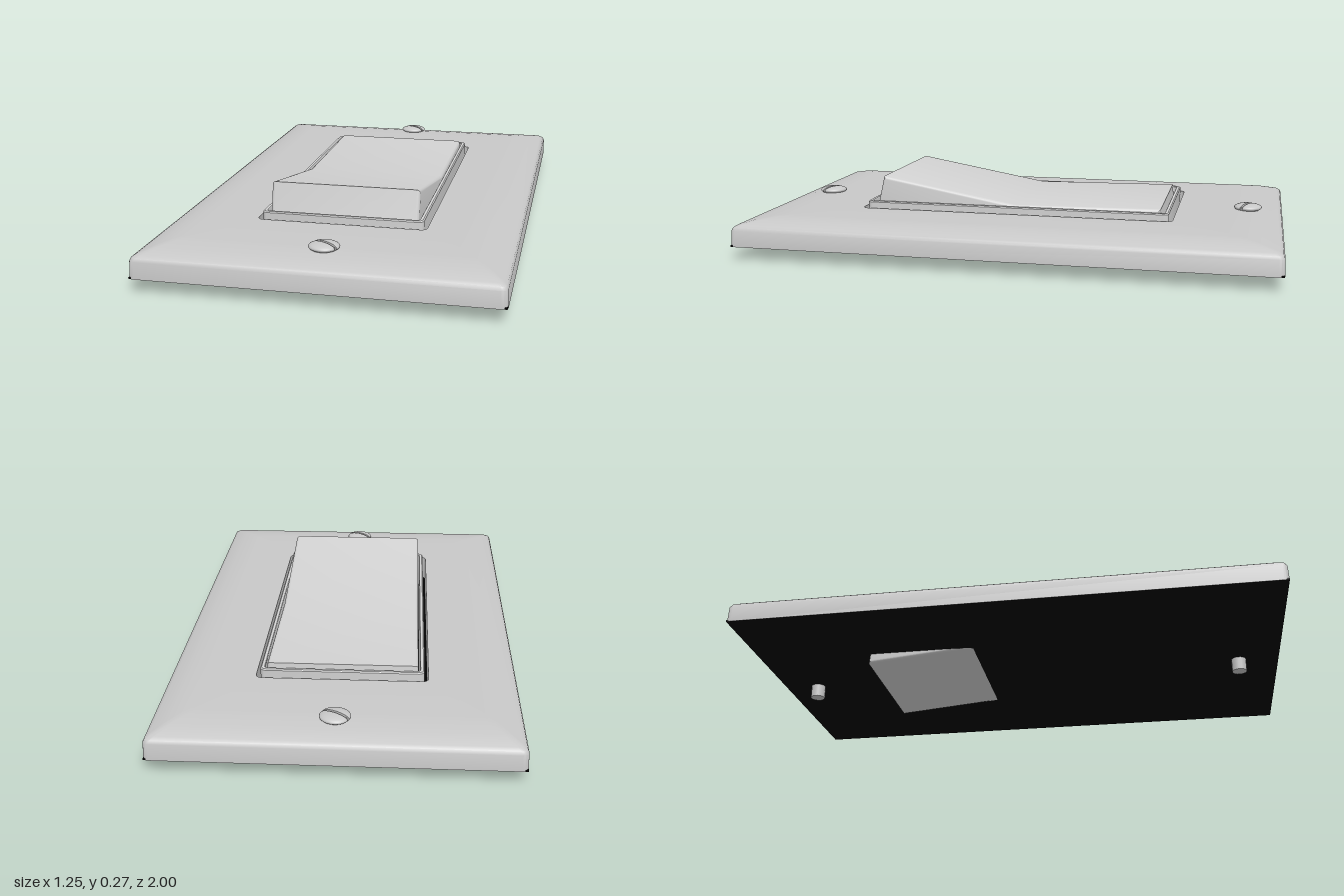
import * as THREE from 'three';
import { toCreasedNormals } from 'three/addons/utils/BufferGeometryUtils.js';

const material = (name, color) => {
  const m = new THREE.MeshStandardMaterial({ color });
  m.name = name;
  return m;
};

// Outline of a rounded rectangle lying flat at height y
function ring([hx, hz, r, y], steps = 5) {
  const points = [];
  [[1, 1], [-1, 1], [-1, -1], [1, -1]].forEach(([sx, sz], corner) => {
    for (let i = 0; i <= steps; i++) {
      const a = (corner + i / steps) * Math.PI / 2;
      points.push([sx * (hx - r) + r * Math.cos(a), y, sz * (hz - r) + r * Math.sin(a)]);
    }
  });
  return points;
}

// Skin through successive rounded rectangles: outside, over the top, down the hole
function loft(sections, crease) {
  const rings = sections.map((s) => ring(s));
  const n = rings[0].length;
  const index = [];
  for (let i = 0; i < rings.length - 1; i++) {
    for (let j = 0; j < n; j++) {
      const a = i * n + j, b = i * n + (j + 1) % n;
      index.push(a, a + n, b, a + n, b + n, b);
    }
  }
  const g = new THREE.BufferGeometry();
  g.setAttribute('position', new THREE.Float32BufferAttribute(rings.flat(2), 3));
  g.setIndex(index);
  return toCreasedNormals(g, crease);
}

export function createModel() {
  const model = new THREE.Group();
  model.name = 'wallSwitch';
  const plateGrey = material('plateGrey', 0xc8c8c8);
  const switchGrey = material('switchGrey', 0xd2d2d2);
  const screwGrey = material('screwGrey', 0xc8c8c8);
  const black = material('black', 0x050505);

  const add = (name, geometry, mat, parent = model) => {
    const mesh = new THREE.Mesh(geometry, mat);
    mesh.name = name;
    parent.add(mesh);
    return mesh;
  };

  // Cover plate with softly sloping border and a rectangular opening
  add('coverPlate', loft([
    [0.625, 1, 0.02, 0.05],
    [0.623, 0.998, 0.02, 0.11],
    [0.618, 0.993, 0.02, 0.121],
    [0.605, 0.98, 0.02, 0.129],
    [0.56, 0.925, 0.02, 0.142],
    [0.52, 0.87, 0.02, 0.15],
    [0.49, 0.83, 0.02, 0.152],
    [0.306, 0.599, 0.022, 0.152],
    [0.306, 0.599, 0.022, 0.052],
  ], 0.6), plateGrey);

  // Dark back, also seen through the gap round the frame
  add('backPanel', new THREE.BoxGeometry(1.246, 0.006, 1.996).translate(0, 0.053, 0), black);

  // Raised frame around the rocker
  add('rockerFrame', loft([
    [0.292, 0.584, 0.02, 0.05],
    [0.292, 0.584, 0.02, 0.173],
    [0.288, 0.58, 0.018, 0.177],
    [0.278, 0.57, 0.014, 0.177],
    [0.276, 0.568, 0.013, 0.174],
    [0.276, 0.568, 0.013, 0.05],
  ], 0.6), switchGrey);

  // Rocker: bent side profile (z, y) extruded across x with rounded edges
  const profile = new THREE.Shape([
    [0.56, 0.115], [0.523, 0.272], [0, 0.18], [-0.553, 0.188], [-0.568, 0.013],
  ].map(([z, y]) => new THREE.Vector2(z, y)));
  const bevel = 0.012;
  const rocker = new THREE.ExtrudeGeometry(profile, {
    depth: 0.54 - 2 * bevel, bevelEnabled: true, bevelSize: bevel,
    bevelThickness: bevel, bevelOffset: -bevel, bevelSegments: 4,
  }).translate(0, 0, -0.27 + bevel).rotateY(-Math.PI / 2);
  add('rocker', toCreasedNormals(rocker, 0.5), switchGrey);

  // Two slotted screws passing through the plate
  for (const [name, z] of [['frontScrew', 0.845], ['backScrew', -0.865]]) {
    const screw = new THREE.Group();
    screw.name = name;
    screw.position.set(0.005, 0, z);
    screw.rotation.y = -0.5;
    model.add(screw);
    add('shaft', new THREE.CylinderGeometry(0.028, 0.028, 0.155, 16).translate(0, 0.0775, 0), screwGrey, screw);
    add('slotFloor', new THREE.CylinderGeometry(0.044, 0.044, 0.012, 32).translate(0, 0.156, 0), screwGrey, screw);
    // Domed half heads on both sides of the slot
    for (const side of [0, 1]) {
      const half = new THREE.Group();
      half.name = 'headHalf';
      half.rotation.y = side * Math.PI;
      screw.add(half);
      const dome = new THREE.SphereGeometry(1, 20, 16, 0, Math.PI);
      add('dome', dome.scale(0.052, 0.015, 0.047).translate(0, 0.159, 0.005), screwGrey, half);
      const wall = new THREE.CircleGeometry(1, 32).rotateY(Math.PI);
      add('slotWall', wall.scale(0.052, 0.015, 1).translate(0, 0.159, 0.005), screwGrey, half);
    }
  }
  return model;
}
